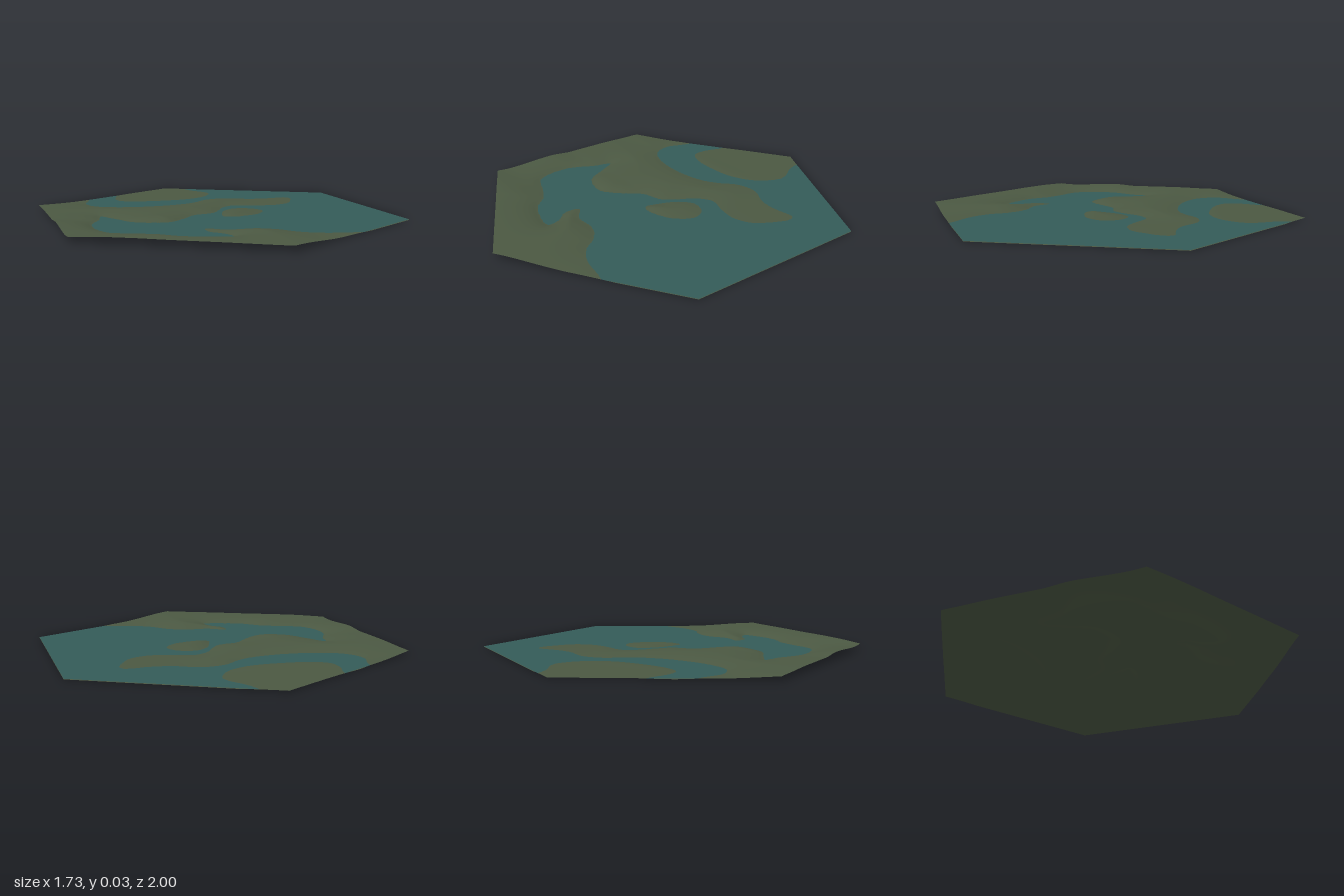
import * as THREE from 'three';

const WATER_LEVEL = 0.003;
const RINGS = 80;

// Shorelines as [x, z] points; the landmasses close outside the hexagon
const northShore = [[0.1, -1.1], [0.11, -0.94], [0.13, -0.86], [0.19, -0.75], [0.19, -0.68], [0.12, -0.58],
  [0, -0.52], [-0.15, -0.51], [-0.3, -0.53], [-0.39, -0.58], [-0.4, -0.67], [-0.37, -0.77], [-0.35, -1]];
const mainShore = [[-0.52, -0.85], [-0.56, -0.64], [-0.6, -0.53], [-0.56, -0.42], [-0.43, -0.35], [-0.25, -0.325],
  [-0.1, -0.34], [0, -0.38], [0.1, -0.46], [0.22, -0.475], [0.35, -0.41], [0.45, -0.395], [0.57, -0.4],
  [0.59, -0.36], [0.55, -0.26], [0.5, -0.19], [0.4, -0.15], [0.29, -0.17], [0.17, -0.21], [0.09, -0.16],
  [0.04, -0.08], [-0.02, -0.01], [-0.13, 0.02], [-0.22, 0.11], [-0.31, 0.175], [-0.47, 0.12], [-0.54, 0],
  [-0.6, -0.1], [-0.63, 0], [-0.69, 0.12], [-0.69, 0.26], [-0.65, 0.35], [-0.58, 0.39], [-0.44, 0.46],
  [-0.34, 0.56], [-0.13, 0.625], [-0.14, 0.55], [-0.195, 0.48], [-0.19, 0.4], [-0.1, 0.46], [0.03, 0.47],
  [0.13, 0.53], [0.2, 0.62], [0.3, 0.68], [0.46, 0.72], [0.65, 0.8]];
const islandShore = [[0.14, -0.11], [0.23, -0.08], [0.265, 0], [0.2, 0.09], [0.06, 0.13], [0.01, 0.11],
  [0.03, 0.02], [0.07, -0.06]];

function smoothShore(points, closed) {
  const curve = new THREE.CatmullRomCurve3(points.map(([x, z]) => new THREE.Vector3(x, 0, z)), closed);
  return curve.getPoints(points.length * 5).map((p) => [p.x, p.z]);
}

const landmasses = [
  smoothShore(northShore, false),
  [...smoothShore(mainShore, false), [0.6, 2], [-2, 2], [-2, -2], [-0.5, -2]],
  smoothShore(islandShore, true),
];

// Distance to the outline: positive inside, negative outside
function signedDistance(x, z, outline) {
  let best = Infinity, inside = false;
  for (let i = 0, j = outline.length - 1; i < outline.length; j = i++) {
    const [ax, az] = outline[j], [bx, bz] = outline[i];
    const dx = bx - ax, dz = bz - az;
    const t = THREE.MathUtils.clamp(((x - ax) * dx + (z - az) * dz) / (dx * dx + dz * dz || 1), 0, 1);
    best = Math.min(best, Math.hypot(x - ax - t * dx, z - az - t * dz));
    if ((az > z) !== (bz > z) && x < ax + ((z - az) / dz) * dx) inside = !inside;
  }
  return inside ? best : -best;
}

// Smooth interpolation through [position, value] stops
function ramp(stops, v) {
  for (let i = 1; i < stops.length; i++) {
    const [a, va] = stops[i - 1], [b, vb] = stops[i];
    if (v <= b) return va + (vb - va) * THREE.MathUtils.smoothstep(v, a, b);
  }
  return stops[stops.length - 1][1];
}
const riseAlongZ = [[-1, 0.0015], [-0.65, 0.002], [-0.45, 0.015], [-0.2, 0.02], [0, 0.021], [0.15, 0.034],
  [0.42, 0.021], [0.6, 0.032], [1, 0.027]];
const riseAlongX = [[-0.3, 1], [0, 0.9], [0.35, 0.15], [0.6, 0.06]];

function landHeight(x, z, shore) {
  if (shore < 0) return Math.max(0, WATER_LEVEL + shore * 0.05);
  return WATER_LEVEL + ramp(riseAlongZ, z) * ramp(riseAlongX, x) * (1 - Math.exp(-shore / 0.09));
}

// Triangular grid over a hexagon with corners on the z axis
function hexGrid() {
  const points = [], index = [], ids = new Map();
  const corner = Array.from({ length: 6 }, (_, k) => [Math.sin((k * Math.PI) / 3), Math.cos((k * Math.PI) / 3)]);
  const vertex = (k, a, b) => {
    const x = (corner[k][0] * a + corner[(k + 1) % 6][0] * b) / RINGS;
    const z = (corner[k][1] * a + corner[(k + 1) % 6][1] * b) / RINGS;
    const key = `${Math.round(x * 1e4)},${Math.round(z * 1e4)}`;
    if (!ids.has(key)) {
      ids.set(key, points.length);
      points.push([x, z]);
    }
    return ids.get(key);
  };
  for (let k = 0; k < 6; k++) {
    for (let a = 0; a < RINGS; a++) {
      for (let b = 0; a + b < RINGS; b++) {
        index.push(vertex(k, a, b), vertex(k, a + 1, b), vertex(k, a, b + 1));
        if (a + b < RINGS - 1) index.push(vertex(k, a + 1, b), vertex(k, a + 1, b + 1), vertex(k, a, b + 1));
      }
    }
  }
  return { points, index };
}

function sheet(name, points, heights, index, material) {
  const geometry = new THREE.BufferGeometry();
  const position = points.flatMap(([x, z], i) => [x, heights[i], z]);
  geometry.setAttribute('position', new THREE.Float32BufferAttribute(position, 3));
  geometry.setIndex(index);
  geometry.computeVertexNormals();
  const mesh = new THREE.Mesh(geometry, material);
  mesh.name = name;
  return mesh;
}

export function createModel() {
  const group = new THREE.Group();
  group.name = 'hexTerrainTile';
  const landGreen = new THREE.MeshStandardMaterial({ name: 'mossGreen', color: 0x4b5842, side: THREE.DoubleSide });
  const waterTeal = new THREE.MeshStandardMaterial({ name: 'waterTeal', color: 0x345b58 });

  const { points, index } = hexGrid();
  const shore = points.map(([x, z]) => Math.max(...landmasses.map((outline) => signedDistance(x, z, outline))));

  // Land: one relief sheet that dips below the water to form the bed
  const heights = points.map(([x, z], i) => landHeight(x, z, shore[i]));
  group.add(sheet('land', points, heights, index, landGreen));

  // Water: flat surface kept only where the bed lies below it
  const wet = [];
  for (let i = 0; i < index.length; i += 3) {
    const tri = index.slice(i, i + 3);
    if (tri.some((v) => shore[v] < 0)) wet.push(...tri);
  }
  group.add(sheet('water', points, points.map(() => WATER_LEVEL), wet, waterTeal));
  return group;
}
